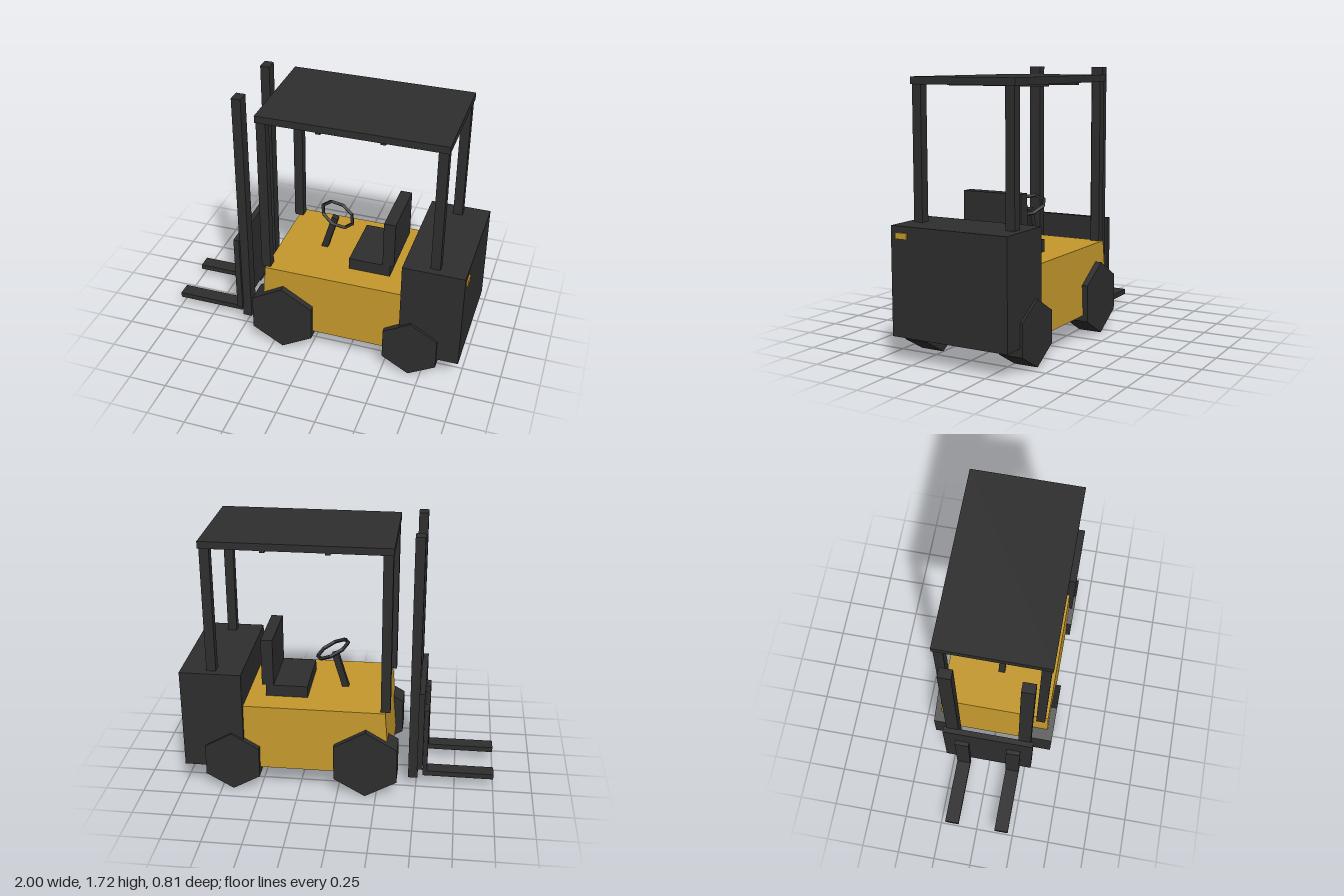
import * as THREE from 'three';

export function createModel() {
  const model = new THREE.Group();
  model.name = 'forklift';
  const dark = new THREE.MeshStandardMaterial({ color: 0x2e2e2e, flatShading: true });
  dark.name = 'charcoal';
  const yellow = new THREE.MeshStandardMaterial({ color: 0xc4982c, flatShading: true });
  yellow.name = 'machine yellow';

  function add(name, geometry, material = dark) {
    const mesh = new THREE.Mesh(geometry, material);
    mesh.name = name;
    model.add(mesh);
    return mesh;
  }
  // Box given by its limits on each axis
  function box(name, x0, x1, y0, y1, z0, z1, material) {
    const mesh = add(name, new THREE.BoxGeometry(x1 - x0, y1 - y0, z1 - z0), material);
    mesh.position.set((x0 + x1) / 2, (y0 + y1) / 2, (z0 + z1) / 2);
    return mesh;
  }
  // Mirrored pair of boxes on both sides of z = 0
  function boxPair(name, x0, x1, y0, y1, z0, z1) {
    box(name + 'Left', x0, x1, y0, y1, z0, z1);
    box(name + 'Right', x0, x1, y0, y1, -z1, -z0);
  }

  // Chassis: a box that narrows toward the top and has a sloping nose
  const bodyGeometry = new THREE.BoxGeometry(1, 1, 1);
  const p = bodyGeometry.attributes.position;
  for (let i = 0; i < p.count; i++) {
    const top = p.getY(i) > 0;
    const x = p.getX(i) > 0 ? 0.61 : top ? -0.3 : -0.335;
    p.setXYZ(i, x, top ? 0.59 : 0.16, Math.sign(p.getZ(i)) * (top ? 0.36 : 0.375));
  }
  bodyGeometry.computeVertexNormals();
  add('chassis', bodyGeometry, yellow);

  // Counterweight with its small plate
  box('counterweight', 0.6, 0.99, 0.16, 0.82, -0.39, 0.39);
  box('rearPlate', 0.99, 1.0, 0.745, 0.782, 0.277, 0.355, yellow);

  // Six-sided wheels
  for (const [name, x, radius] of [['frontWheel', -0.18, 0.233], ['rearWheel', 0.675, 0.202]]) {
    for (const side of [1, -1]) {
      const geometry = new THREE.CylinderGeometry(radius, radius, 0.155, 6).rotateX(Math.PI / 2);
      add(name, geometry).position.set(x, radius + 0.005, side * 0.3285);
    }
  }

  // Overhead guard
  boxPair('frontPost', -0.33, -0.27, 0.59, 1.63, 0.284, 0.343);
  boxPair('rearPost', 0.765, 0.825, 0.82, 1.63, 0.284, 0.343);
  box('roof', -0.335, 0.832, 1.627, 1.672, -0.352, 0.352);
  for (const x of [0.055, 0.445]) box('roofRib', x - 0.015, x + 0.015, 1.613, 1.628, -0.345, 0.345);

  // Seat
  box('seatCushion', 0.21, 0.48, 0.59, 0.667, -0.2, 0.2);
  box('seatBack', 0.43, 0.505, 0.667, 0.98, -0.2, 0.2);

  // Steering column and eight-sided wheel
  const column = add('steeringColumn', new THREE.BoxGeometry(0.042, 0.25, 0.042));
  column.position.set(0.02, 0.705, 0);
  column.rotation.z = -0.284;
  const ring = add('steeringWheel', new THREE.TorusGeometry(0.112, 0.013, 4, 8).rotateX(Math.PI / 2));
  ring.position.set(0.07, 0.848, 0);
  ring.rotation.z = -0.48;

  // Mast, carriage and forks
  boxPair('mastRail', -0.51, -0.45, 0.085, 1.72, 0.195, 0.275);
  box('carriage', -0.542, -0.505, 0.16, 0.707, -0.295, 0.295);
  boxPair('forkShank', -0.57, -0.542, 0.07, 0.55, 0.125, 0.217);
  boxPair('forkTine', -1.0, -0.545, 0.07, 0.105, 0.125, 0.217);

  return model;
}
